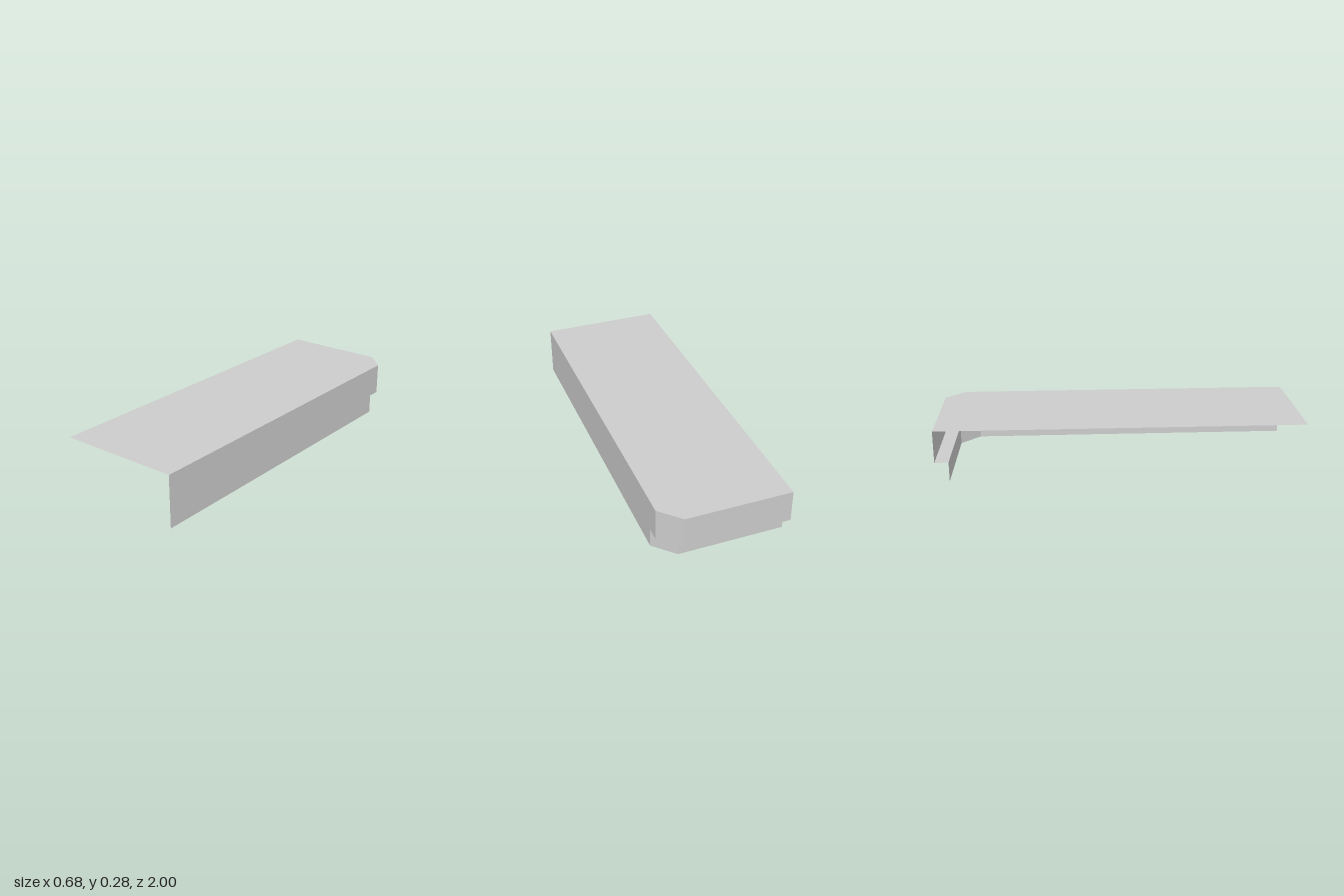
import * as THREE from 'three';

const W = 0.34, TOP = 0.285, STEP = 0.108, CUT = 0.107, SETBACK = 0.075;

// Plan outline of the folded edge: side, cut corner, back; set back along z
const outline = (setback) => [
  [W, 1],
  [W, -1 + CUT + setback],
  [W - CUT, -1 + setback],
  [-W, -1 + setback],
];

export function createModel() {
  const group = new THREE.Group();
  group.name = 'steppedCover';
  const grey = new THREE.MeshStandardMaterial({ color: 0xcccccc, side: THREE.DoubleSide });
  grey.name = 'plain grey';

  // Flat panel from corners listed counter-clockwise seen from outside
  const panel = (name, corners) => {
    const points = [];
    for (let i = 1; i < corners.length - 1; i++) {
      points.push(...corners[0], ...corners[i], ...corners[i + 1]);
    }
    const geometry = new THREE.BufferGeometry();
    geometry.setAttribute('position', new THREE.Float32BufferAttribute(points, 3));
    geometry.computeVertexNormals();
    const mesh = new THREE.Mesh(geometry, grey);
    mesh.name = name;
    group.add(mesh);
  };

  const upper = outline(0), lower = outline(SETBACK);
  const at = ([x, z], y) => [x, y, z];

  // Top sheet with one cut corner
  panel('topSheet', [...upper, [-W, 1]].map((p) => at(p, TOP)));

  // Upper and lower walls, with the ledge under the cut corner and back
  ['side', 'corner', 'back'].forEach((part, i) => {
    const a = upper[i], b = upper[i + 1], c = lower[i], d = lower[i + 1];
    panel(part + 'UpperWall', [at(a, STEP), at(b, STEP), at(b, TOP), at(a, TOP)]);
    panel(part + 'LowerWall', [at(c, 0), at(d, 0), at(d, STEP), at(c, STEP)]);
    if (i > 0) panel(part + 'Ledge', [at(c, STEP), at(d, STEP), at(b, STEP), at(a, STEP)]);
  });

  return group;
}
